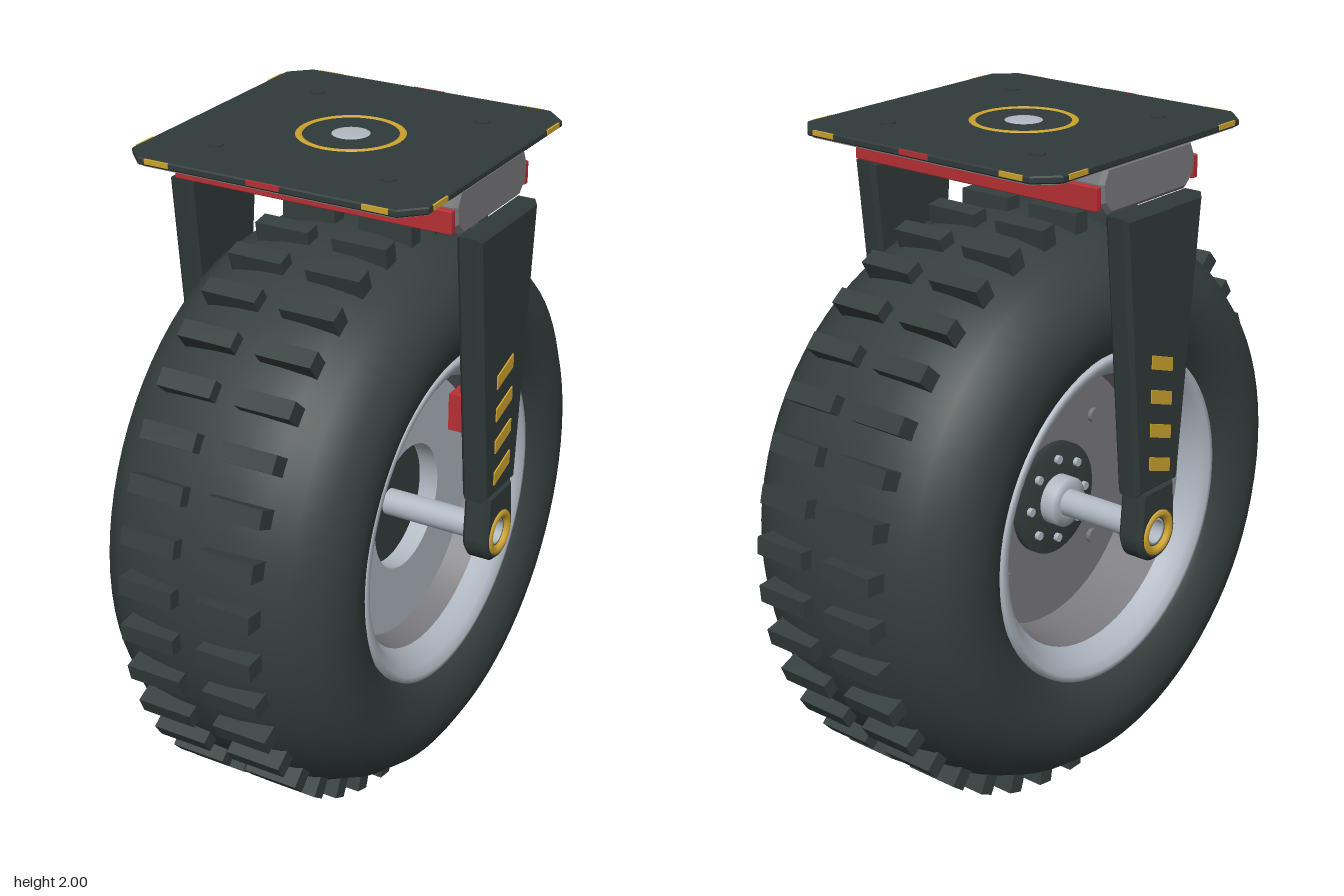
import * as THREE from 'three';
import { RoundedBoxGeometry } from 'three/addons/geometries/RoundedBoxGeometry.js';

const mat = (name, color, side = THREE.FrontSide) => {
  const m = new THREE.MeshStandardMaterial({ color, side });
  m.name = name;
  return m;
};

export function createModel() {
  const root = new THREE.Group();
  root.name = 'casterWheel';
  const rubber = mat('rubber', 0x353f3e);
  const frame = mat('frame', 0x313a3a);
  const steel = mat('steel', 0xb0b8c2, THREE.DoubleSide);
  const grey = mat('grey', 0x7a7a7e, THREE.DoubleSide);
  const red = mat('red', 0xb83035);
  const gold = mat('gold', 0xcfa52f);
  const AXLE_Y = 0.886;

  const add = (parent, name, geo, material, x = 0, y = 0, z = 0) => {
    const m = new THREE.Mesh(geo, material);
    m.name = name;
    m.position.set(x, y, z);
    parent.add(m);
    return m;
  };
  const box = (parent, name, w, h, d, material, x, y, z) =>
    add(parent, name, new THREE.BoxGeometry(w, h, d), material, x, y, z);

  // Revolve [radius, x] points about the axle; side -1 mirrors them
  const revolve = (parent, name, points, material, side = 1, segments = 64) => {
    let p = points.map(([r, x]) => new THREE.Vector2(r, x * side));
    if (side < 0) p = p.reverse();
    const g = new THREE.LatheGeometry(p, segments);
    g.rotateZ(-Math.PI / 2);
    return add(parent, name, g, material);
  };

  const shapeOf = (pts) => new THREE.Shape(pts.map(([a, b]) => new THREE.Vector2(a, b)));
  // Extrude a shape drawn in (-z, y), centred on x = 0
  const sideExtrude = (shape, depth, bevel = 0) => {
    const g = new THREE.ExtrudeGeometry(shape, {
      depth: depth - 2 * bevel, bevelEnabled: bevel > 0, bevelSize: bevel, bevelOffset: -bevel,
      bevelThickness: bevel, bevelSegments: 1, curveSegments: 24 });
    g.translate(0, 0, -depth / 2 + bevel);
    g.rotateY(Math.PI / 2);
    return g;
  };

  // ---- Wheel ----
  const wheel = new THREE.Group();
  wheel.name = 'wheel';
  wheel.position.y = AXLE_Y;
  root.add(wheel);

  const half = [[0.85, 0], [0.846, 0.1], [0.832, 0.19], [0.8, 0.27], [0.75, 0.335],
    [0.69, 0.37], [0.63, 0.38], [0.57, 0.37], [0.52, 0.345], [0.495, 0.315]];
  const tyre = [...half.slice(1).reverse().map(([r, x]) => [r, -x]), ...half];
  revolve(wheel, 'tyre', tyre, rubber, 1, 76);

  // Two rows of tread lugs
  const LUGS = 38;
  for (let i = 0; i < LUGS; i++) {
    const a = (i / LUGS) * Math.PI * 2;
    for (const s of [-1, 1]) {
      const lug = box(wheel, 'treadLug', 0.168, 0.085, 0.052, rubber,
        s * 0.122, Math.cos(a) * 0.843, Math.sin(a) * 0.843);
      lug.rotation.x = a;
    }
  }

  // Rim lips and barrels on both sides
  for (const s of [-1, 1]) {
    const floor = s > 0 ? 0.19 : 0.1;
    revolve(wheel, 'rimLip', [[0.5, 0.31], [0.498, 0.335], [0.48, 0.338], [0.455, 0.322],
      [0.43, 0.29], [0.412, 0.265]], steel, s);
    revolve(wheel, 'rimBarrel', [[0.412, 0.265], [0.392, floor]], grey, s);
  }
  // Outer side: flat disc with a round well
  revolve(wheel, 'rimDisc', [[0.392, 0.19], [0.19, 0.19]], steel);
  revolve(wheel, 'hubWell', [[0.19, 0.19], [0.19, 0.13]], steel);
  revolve(wheel, 'hubFloor', [[0.19, 0.13], [0.036, 0.13]], rubber);
  // Inner side: deeper disc with a bolted hub
  revolve(wheel, 'innerDisc', [[0.392, 0.1], [0.036, 0.1]], grey, -1);
  revolve(wheel, 'hubFlange', [[0.17, 0.1], [0.17, 0.125], [0.036, 0.125]], rubber, -1);
  revolve(wheel, 'hubCollar', [[0.075, 0.12], [0.075, 0.17], [0.036, 0.17]], steel, -1);
  for (let i = 0; i < 8; i++) {
    const a = (i / 8) * Math.PI * 2;
    const bolt = (name, r, x, size, m) => {
      const g = new THREE.CylinderGeometry(size, size, 0.02, 10).rotateZ(Math.PI / 2);
      add(wheel, name, g, m, x, Math.cos(a) * r, Math.sin(a) * r);
    };
    bolt('hubBolt', 0.125, -0.128, 0.013, steel);
    if (i % 2) bolt('discBolt', 0.28, -0.103, 0.022, grey);
  }

  // Hollow axle
  revolve(wheel, 'axle', [[0.034, -0.485], [0.04, -0.485], [0.04, 0.485], [0.034, 0.485],
    [0.034, -0.485]], steel, 1, 28);

  // ---- Fork ----
  for (const s of [-1, 1]) {
    const leg = new THREE.Group();
    leg.name = s > 0 ? 'leftForkLeg' : 'rightForkLeg';
    root.add(leg);
    const arm = shapeOf([[-0.095, 1.02], [0.095, 1.02], [0.175, 1.84], [-0.175, 1.84]]);
    add(leg, 'forkArm', sideExtrude(arm, 0.075, 0.012), frame, s * 0.452);

    // Axle boss with a neck up into the arm
    const boss = new THREE.Shape();
    boss.moveTo(0.075, 1.03);
    boss.lineTo(-0.075, 1.03);
    boss.lineTo(-0.086, AXLE_Y);
    boss.absarc(0, AXLE_Y, 0.086, Math.PI, Math.PI * 2, false);
    boss.closePath();
    boss.holes.push(new THREE.Path().absarc(0, AXLE_Y, 0.04, 0, Math.PI * 2, true));
    add(leg, 'axleBoss', sideExtrude(boss, 0.08, 0.012), frame, s * 0.453);

    const ring = new THREE.TorusGeometry(0.057, 0.014, 8, 28).rotateY(Math.PI / 2);
    add(leg, 'axleRing', ring, gold, s * 0.486, AXLE_Y);

    // Slanted warning stripes
    for (let i = 0; i < 4; i++) {
      const y = 1.06 + i * 0.1;
      const stripe = shapeOf([[-0.047, y], [0.047, y + 0.032], [0.047, y + 0.072], [-0.047, y + 0.04]]);
      add(leg, 'armStripe', sideExtrude(stripe, 0.006), gold, s * 0.4905);
    }
  }
  // Lock block on the inside of one leg
  box(root, 'lockBlock', 0.05, 0.11, 0.2, red, 0.395, 1.285, 0);

  // ---- Swivel housing ----
  const housing = shapeOf([[-0.17, 1.84], [0.17, 1.84], [0.205, 1.875], [0.212, 1.93],
    [0.19, 1.976], [-0.19, 1.976], [-0.212, 1.93], [-0.205, 1.875]]);
  add(root, 'swivelHousing', sideExtrude(housing, 0.87, 0.012), grey);
  for (const s of [-1, 1])
    add(root, 'redBumper', new RoundedBoxGeometry(0.86, 0.066, 0.022, 1, 0.004), red, 0, 1.893, s * 0.216);

  // ---- Mounting plate ----
  const outline = (h, c) => [[-h + c, -h], [h - c, -h], [h, -h + c], [h, h - c],
    [h - c, h], [-h + c, h], [-h, h - c], [-h, -h + c]];
  const flat = (shape, depth, bevel) => new THREE.ExtrudeGeometry(shape, {
    depth, bevelEnabled: bevel > 0, bevelSize: bevel, bevelOffset: -bevel,
    bevelThickness: bevel, bevelSegments: 1, curveSegments: 32 }).rotateX(-Math.PI / 2);
  add(root, 'mountingPlate', flat(shapeOf(outline(0.45, 0.06)), 0.013, 0.004), frame, 0, 1.979, 0);
  const lip = shapeOf(outline(0.44, 0.06));
  lip.holes.push(new THREE.Path(outline(0.405, 0.05).reverse().map(([a, b]) => new THREE.Vector2(a, b))));
  add(root, 'plateLip', flat(lip, 0.006, 0), grey, 0, 1.97, 0);

  // Plate bolts
  for (const x of [-0.265, 0.265])
    for (const z of [-0.265, 0.265])
      add(root, 'plateBolt', new THREE.CylinderGeometry(0.022, 0.022, 0.03, 16), frame, x, 1.984, z);

  // Coloured markers along the plate edges
  for (const s of [-1, 1]) {
    for (const t of [-0.33, 0.33]) {
      box(root, 'edgeMarker', 0.075, 0.014, 0.006, gold, t, 1.988, s * 0.45);
      box(root, 'edgeMarker', 0.006, 0.014, 0.075, gold, s * 0.45, 1.988, t);
    }
    box(root, 'centreMarker', 0.1, 0.014, 0.006, red, 0, 1.988, s * 0.45);
  }

  // Swivel bearing on the plate
  const bearing = new THREE.TorusGeometry(0.143, 0.014, 8, 40).rotateX(Math.PI / 2);
  add(root, 'bearingRing', bearing, gold, 0, 1.986, 0);
  const pin = new THREE.SphereGeometry(0.056, 24, 8, 0, Math.PI * 2, 0, Math.PI / 2);
  pin.scale(1, 0.1, 1);
  add(root, 'kingpin', pin, steel, 0, 1.9945, 0);

  return root;
}
